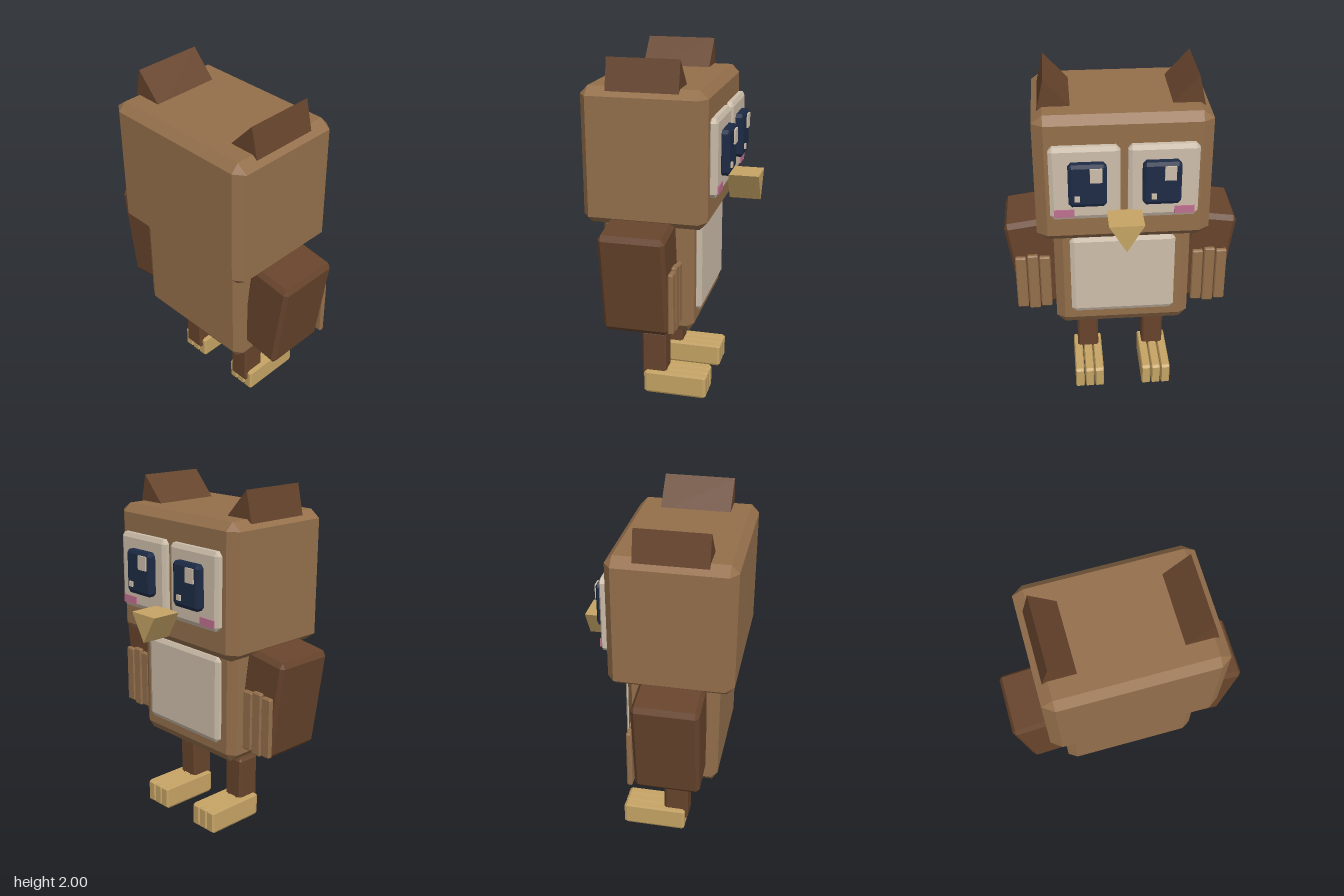
import * as THREE from 'three';
import { ConvexGeometry } from 'three/addons/geometries/ConvexGeometry.js';

const mat = (name, color) => {
  const m = new THREE.MeshStandardMaterial({ color });
  m.name = name;
  return m;
};

// Box with chamfered edges; bevel = [bx, by, bz]
function chamferBox(w, h, d, [bx, by, bz]) {
  const x = w / 2, y = h / 2, z = d / 2, pts = [];
  for (const sx of [-1, 1]) for (const sy of [-1, 1]) for (const sz of [-1, 1]) {
    pts.push(new THREE.Vector3(sx * x, sy * (y - by), sz * (z - bz)));
    pts.push(new THREE.Vector3(sx * (x - bx), sy * y, sz * (z - bz)));
    pts.push(new THREE.Vector3(sx * (x - bx), sy * (y - by), sz * z));
  }
  return new ConvexGeometry(pts);
}

// Triangle in the xy plane extruded from z0 to z1
function prism(points, z0, z1) {
  const shape = new THREE.Shape(points.map(([x, y]) => new THREE.Vector2(x, y)));
  const g = new THREE.ExtrudeGeometry(shape, { depth: z1 - z0, bevelEnabled: false });
  return g.translate(0, 0, z0);
}

export function createModel() {
  const brown = mat('plumage brown', 0x946f4b);
  const dark = mat('dark brown', 0x67442c);
  const cream = mat('cream', 0xcebfab);
  const gold = mat('gold', 0xc6a465);
  const navy = mat('navy', 0x1e2c47);
  const pink = mat('pink', 0xc07090);

  const owl = new THREE.Group();
  owl.name = 'owl';

  const add = (name, geometry, material) => {
    const mesh = new THREE.Mesh(geometry, material);
    mesh.name = name;
    owl.add(mesh);
    return mesh;
  };
  // Block given by its ranges on each axis; no bevel gives a plain box
  const block = (name, material, [x0, x1], [y0, y1], [z0, z1], bevel) => {
    const w = x1 - x0, h = y1 - y0, d = z1 - z0;
    const g = bevel ? chamferBox(w, h, d, bevel) : new THREE.BoxGeometry(w, h, d);
    const mesh = add(name, g, material);
    mesh.position.set((x0 + x1) / 2, (y0 + y1) / 2, (z0 + z1) / 2);
    return mesh;
  };
  // Range mirrored across x = 0 when s = -1
  const side = (s, a, b) => (s > 0 ? [a, b] : [-b, -a]);

  // Head, body and belly patch
  block('head', brown, [-0.48, 0.48], [1.1, 1.85], [-0.24, 0.45], [0.06, 0.045, 0.043]);
  block('body', brown, [-0.39, 0.39], [0.46, 1.16], [-0.15, 0.365], [0.05, 0.05, 0.032]);
  block('belly', cream, [-0.3, 0.3], [0.57, 1.08], [-0.18, -0.14], [0.025, 0.025, 0.012]);

  // Beak: flat on top, pointing down
  add('beak', prism([[-0.095, 1.32], [0, 1.16], [0.095, 1.32]], -0.455, -0.277), gold);

  for (const s of [1, -1]) {
    const label = s > 0 ? 'left' : 'right';

    // Ear tuft
    const ear = [[0.41, 2], [0.25, 1.825], [0.455, 1.8]].map(([x, y]) => [x * s, y]);
    add(label + 'Ear', prism(ear, -0.09, 0.305), dark);

    // Eye plate, pupil and cheek
    block(label + 'EyePlate', cream, side(s, 0.02, 0.4), [1.27, 1.7], [-0.283, -0.235], [0.022, 0.025, 0.012]);
    block(label + 'Pupil', navy, side(s, 0.095, 0.3), [1.37, 1.62], [-0.328, -0.275], [0.018, 0.02, 0.01]);
    block(label + 'Cheek', pink, side(s, 0.27, 0.38), [1.29, 1.335], [-0.289, -0.281]);

    // Wing, leaning outward at the top
    const wing = add(label + 'Wing', chamferBox(0.265, 0.585, 0.365, [0.02, 0.03, 0.02]), dark);
    wing.position.set(s * 0.502, 0.84, 0.118);
    wing.rotation.z = -s * 0.14;

    // Feathers in front of the wing
    for (let i = 0; i < 3; i++) {
      const x = 0.415 + i * 0.07, dy = i === 1 ? 0 : 0.012;
      block(label + 'Feather' + (i + 1), brown, side(s, x, x + 0.064),
        [0.55 + dy, 0.922 - dy], [-0.1, -0.07], [0.006, 0.008, 0.006]);
    }

    // Leg and three toes
    block(label + 'Leg', dark, side(s, 0.138, 0.267), [0.065, 0.387], [0.038, 0.182], [0.012, 0.015, 0.012]);
    for (let i = 0; i < 3; i++) {
      const x = 0.117 + i * 0.06;
      block(label + 'Toe' + (i + 1), gold, side(s, x, x + 0.055),
        [0, 0.138], [-0.207, 0.165], [0.006, 0.012, 0.015]);
    }
  }

  // Eye glints
  const glints = [[0.12, 0.185, 1.52, 1.6], [0.24, 0.268, 1.41, 1.44],
    [-0.27, -0.208, 1.52, 1.6], [-0.167, -0.14, 1.41, 1.44]];
  for (const [x0, x1, y0, y1] of glints)
    block('glint', cream, [x0, x1], [y0, y1], [-0.338, -0.326]);

  return owl;
}
